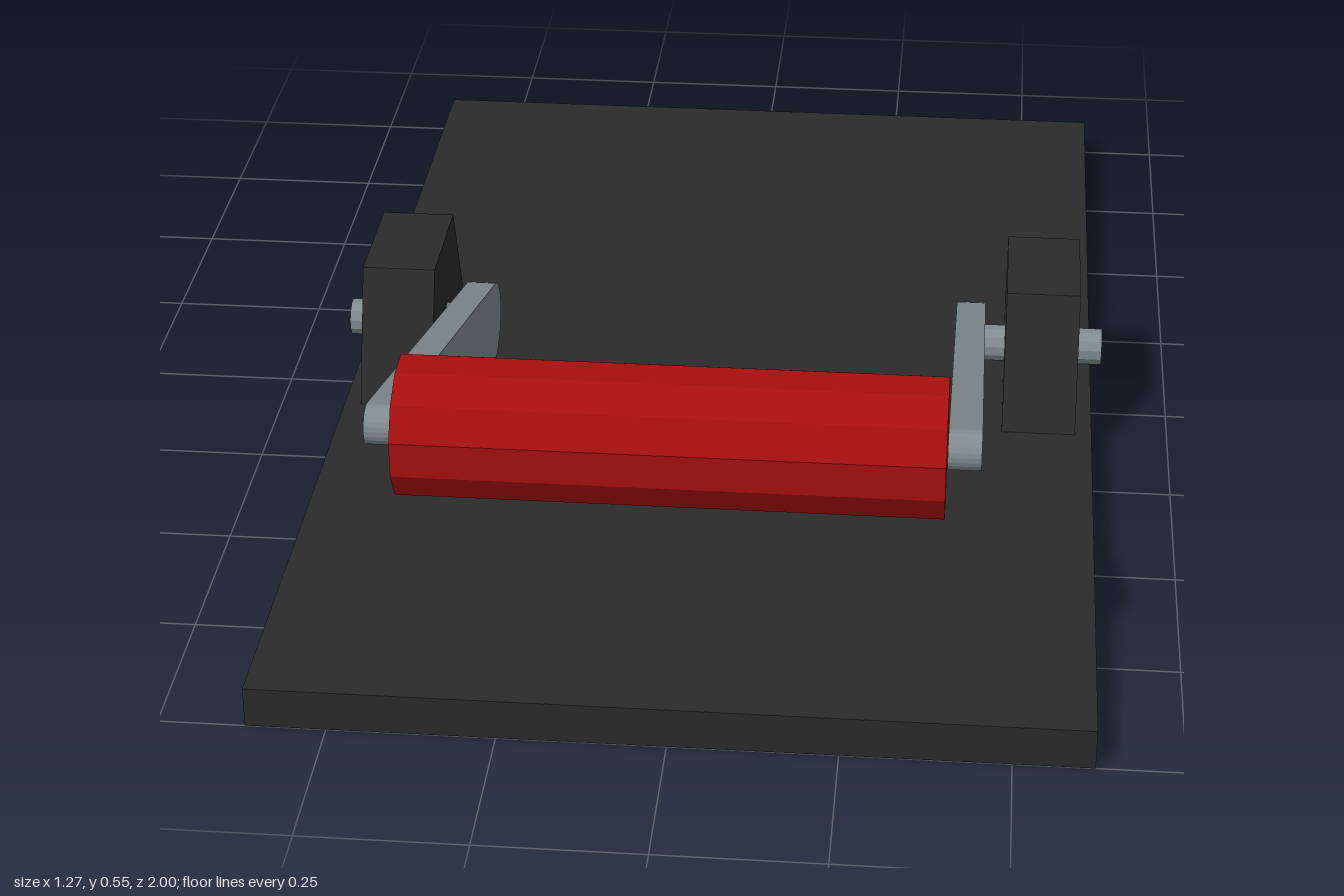
import * as THREE from 'three';

const material = (color) => new THREE.MeshStandardMaterial({ color, flatShading: true, side: THREE.DoubleSide });

// Box standing on y = 0 without its bottom face; its top can taper along z
function openBox(w, h, d, topDepth = d) {
  const g = new THREE.BoxGeometry(w, h, d).translate(0, h / 2, 0);
  const p = g.attributes.position;
  for (let i = 0; i < p.count; i++) {
    if (p.getY(i) > h / 2) p.setZ(i, p.getZ(i) * topDepth / d);
  }
  const index = Array.from(g.index.array);
  index.splice(18, 6);
  g.setIndex(index);
  g.clearGroups();
  g.computeVertexNormals();
  return g;
}

// Flat tapered link with rounded ends, drawn in the z/y plane
function armGeometry(z0, y0, r0, z1, y1, r1, thickness) {
  const a = Math.atan2(y1 - y0, z1 - z0);
  const phi = Math.acos((r0 - r1) / Math.hypot(z1 - z0, y1 - y0));
  const shape = new THREE.Shape();
  shape.absarc(z0, y0, r0, a + phi, a - phi + Math.PI * 2, false);
  shape.absarc(z1, y1, r1, a - phi, a + phi, false);
  return new THREE.ExtrudeGeometry(shape, { depth: thickness, bevelEnabled: false, curveSegments: 6 })
    .translate(0, 0, -thickness / 2)
    .rotateY(-Math.PI / 2);
}

// Faceted rod lying along x
function rodGeometry(radius, length) {
  return new THREE.CylinderGeometry(radius, radius, length, 12)
    .rotateY(Math.PI / 12)
    .rotateZ(Math.PI / 2);
}

export function createModel() {
  const model = new THREE.Group();
  const black = material(0x2b2b2b);
  const steel = material(0x828d91);
  const red = material(0xa80f0f);

  const add = (name, geometry, mat, x = 0, y = 0, z = 0) => {
    const mesh = new THREE.Mesh(geometry, mat);
    mesh.name = name;
    mesh.position.set(x, y, z);
    model.add(mesh);
  };

  // Hollow base plate
  add('basePlate', openBox(1.24, 0.065, 2), black);

  // Roller handle
  add('rollerHandle', rodGeometry(0.1035, 0.78), red, 0, 0.45, 0.873);

  // Brackets, pivots and swing arms, mirrored on both sides
  for (const [side, s] of [['left', 1], ['right', -1]]) {
    add(side + 'Bracket', openBox(0.12, 0.25, 0.39, 0.2), black, s * 0.533, 0.03, 0);
    add(side + 'Pivot', rodGeometry(0.031, 0.235), steel, s * 0.5175, 0.13, 0);
    add(side + 'Arm', armGeometry(0, 0.13, 0.067, 0.875, 0.45, 0.03, 0.048), steel, s * 0.415, 0, 0);
  }
  return model;
}
